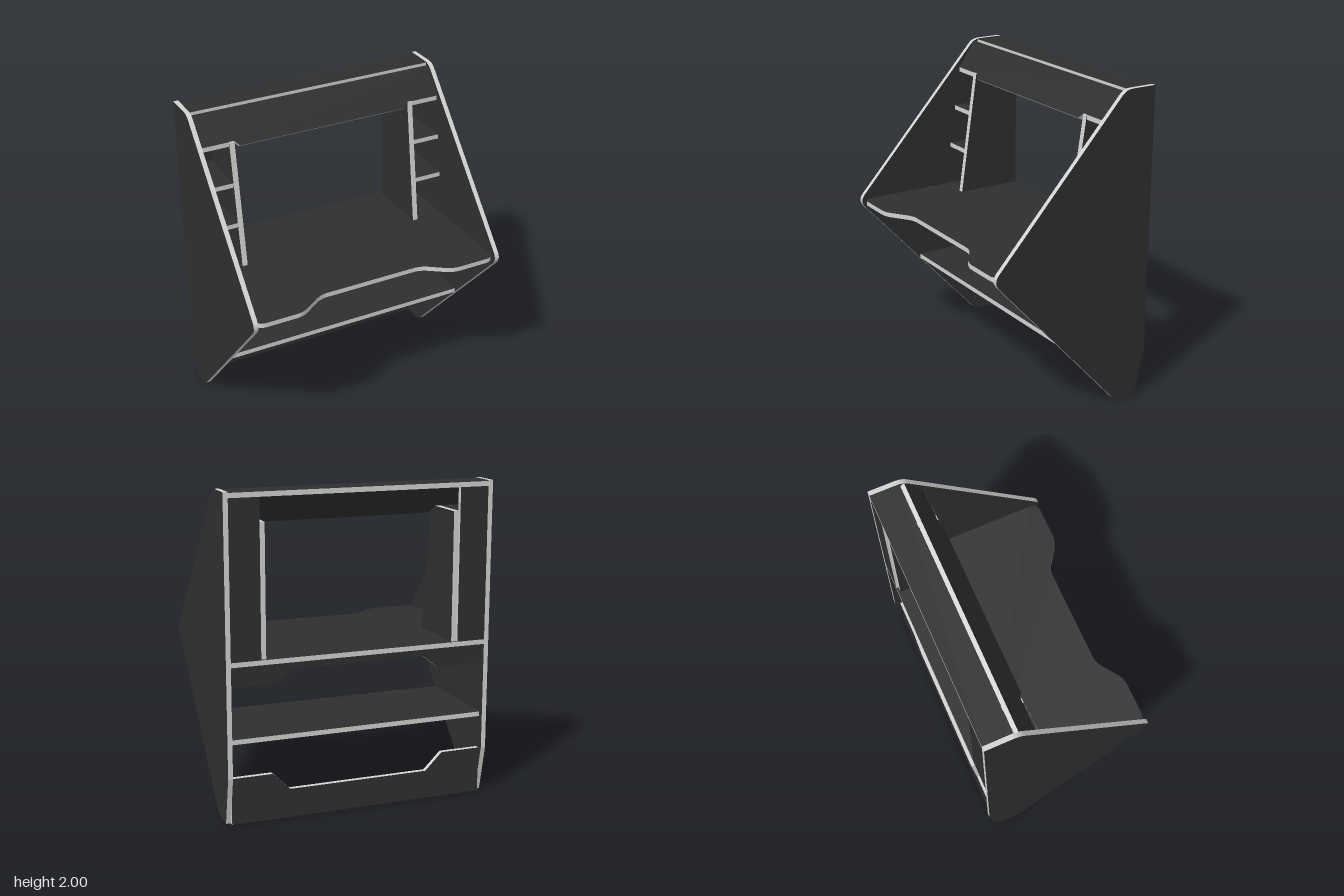
import * as THREE from 'three';

const T = 0.03; // board thickness

export function createModel() {
  const group = new THREE.Group();
  const dark = new THREE.MeshStandardMaterial({ color: 0x2f2f2f });
  dark.name = 'dark laminate';
  const light = new THREE.MeshStandardMaterial({ color: 0xd2d2d0 });
  light.name = 'light board edge';

  // Closed outline from [x, y, cornerRadius] points
  function outline(pts) {
    const shape = new THREE.Shape();
    const v = pts.map(p => new THREE.Vector2(p[0], p[1]));
    const n = pts.length;
    pts.forEach((p, i) => {
      const r = p[2] || 0;
      const a = v[i].clone().add(v[(i + n - 1) % n].clone().sub(v[i]).setLength(r));
      const b = v[i].clone().add(v[(i + 1) % n].clone().sub(v[i]).setLength(r));
      if (i === 0) shape.moveTo(a.x, a.y); else shape.lineTo(a.x, a.y);
      if (r > 0) shape.quadraticCurveTo(v[i].x, v[i].y, b.x, b.y);
    });
    shape.closePath();
    return shape;
  }

  // Board with dark faces and light cut edges
  function board(name, pts, orient, x, y, z, t = T) {
    const geo = new THREE.ExtrudeGeometry(outline(pts), { depth: t, bevelEnabled: false, curveSegments: 8 });
    if (orient === 'side') geo.rotateY(-Math.PI / 2);  // outline (z, y), runs toward -x
    if (orient === 'flat') geo.rotateX(Math.PI / 2);   // outline (x, z), runs toward -y
    const mesh = new THREE.Mesh(geo, [dark, light]);
    mesh.name = name;
    mesh.position.set(x, y, z);
    group.add(mesh);
    return mesh;
  }
  const rect = (x0, y0, x1, y1) => [[x0, y0], [x1, y0], [x1, y1], [x0, y1]];

  // Pointed side panels
  const sideProfile = [
    [-0.545, 2], [-0.545, 0.3], [-0.48, 0], [-0.335, 0, 0.045],
    [0.572, 1, 0.06], [-0.335, 2, 0.045],
  ];
  board('leftSidePanel', sideProfile, 'side', 0.85, 0, 0);
  board('rightSidePanel', sideProfile, 'side', -0.82, 0, 0);

  // Desk top with a recessed front
  board('deskTop', [
    [-0.82, -0.545], [0.82, -0.545], [0.82, 0.54, 0.06], [0.52, 0.54, 0.05], [0.35, 0.42, 0.05],
    [-0.35, 0.42, 0.05], [-0.52, 0.54, 0.05], [-0.82, 0.54, 0.06],
  ], 'flat', 0, 1.01, 0);

  // Lower shelf and top board
  board('lowerShelf', rect(-0.82, -0.51, 0.82, 0.12), 'flat', 0, 0.53, 0);
  board('topBoard', rect(-0.82, -0.545, 0.82, -0.36), 'flat', 0, 1.995, 0);

  // Notched rear panels
  board('underDeskPanel', [
    [-0.82, 0.85], [-0.52, 0.85], [-0.42, 0.93], [0.42, 0.93], [0.52, 0.85], [0.82, 0.85],
    [0.82, 0.98], [-0.82, 0.98],
  ], 'front', 0, 0, -0.51);
  board('footPanel', [
    [-0.82, 0], [0.82, 0], [0.82, 0.29], [0.56, 0.29], [0.45, 0.18],
    [-0.45, 0.18], [-0.56, 0.29], [-0.82, 0.29],
  ], 'front', 0, 0, -0.51);

  // Tilted header across the top front
  const header = board('header', [
    [-0.82, 0.036], [-0.6, 0.036], [-0.57, 0], [0.57, 0], [0.6, 0.036], [0.82, 0.036],
    [0.82, 0.238], [-0.82, 0.238],
  ], 'front', 0, 1.79, -0.2);
  header.geometry.translate(0, 0, -T);
  header.rotation.x = -0.576;

  // Side cubbies: upright, back and three shelves on each side
  const frontZ = y => -0.095 - 0.12 * (y - 1.01) / 0.81;
  for (const [label, s] of [['left', 1], ['right', -1]]) {
    const span = (a, b) => (s > 0 ? [a, b] : [-b, -a]);
    const [x0, x1] = span(0.635, 0.82);
    const upright = [[-0.53, 1.01], [frontZ(1.01), 1.01], [frontZ(1.82), 1.82], [-0.53, 1.82]];
    board(label + 'Upright', upright, 'side', s > 0 ? 0.635 : -0.6, 0, 0, 0.035);
    board(label + 'CubbyBack', rect(x0, 1.01, x1, 1.965), 'front', 0, 0, -0.545);
    for (const y of [1.3, 1.56, 1.82]) {
      board(label + 'CubbyShelf', rect(x0, -0.515, x1, frontZ(y)), 'flat', 0, y, 0);
    }
  }
  return group;
}
